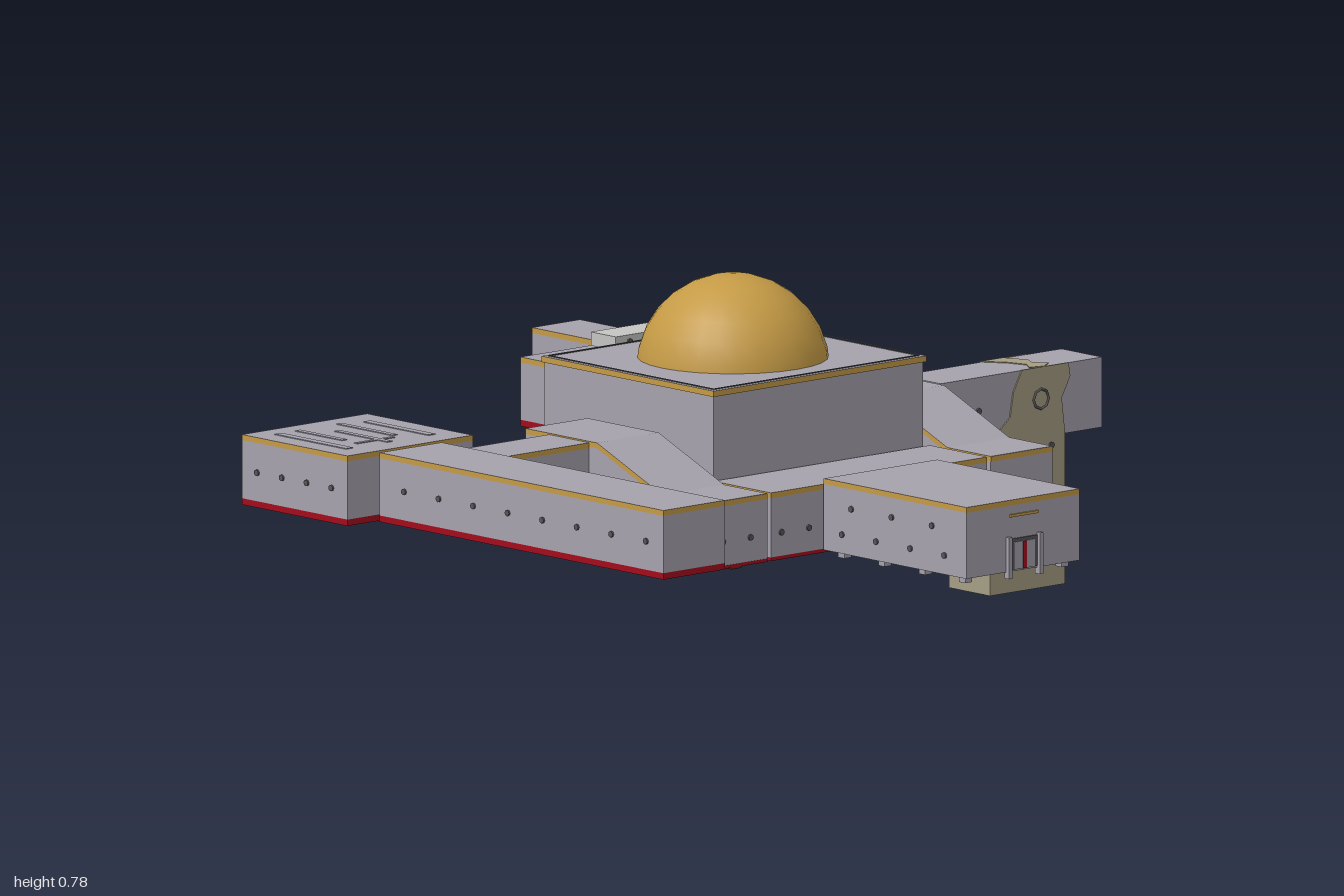
import * as THREE from 'three';

const mat = (name, color) => {
  const m = new THREE.MeshStandardMaterial({ color });
  m.name = name;
  return m;
};

export function createModel() {
  const grey = mat('hull grey', 0xa5a2ac), gold = mat('gold', 0xc49a45);
  const red = mat('red', 0xa30c1c), tan = mat('tan', 0xa69d83);
  const pale = mat('pale grey', 0xc4c4c2), dark = mat('dark grey', 0x55545a);
  const rust = mat('rust', 0x5e2a20);
  const root = new THREE.Group();

  const add = (name, geo, material, parent = root) => {
    const m = new THREE.Mesh(geo, material);
    m.name = name;
    parent.add(m);
    return m;
  };
  const box = (name, x0, x1, y0, y1, z0, z1, material, parent = root) => {
    const m = add(name, new THREE.BoxGeometry(x1 - x0, y1 - y0, z1 - z0), material, parent);
    m.position.set((x0 + x1) / 2, (y0 + y1) / 2, (z0 + z1) / 2);
    return m;
  };
  const group = (name) => {
    const g = new THREE.Group();
    g.name = name;
    root.add(g);
    return g;
  };
  // band whose four sides are painted while top and bottom stay grey
  const sides = (m) => [m, m, grey, grey, m, m];

  // Rectangular module with optional gold top edge and red bottom edge
  const room = (name, x0, x1, y0, y1, z0, z1, top = 0.012, bottom = 0.014) => {
    const g = group(name);
    box('walls', x0, x1, y0 + bottom, y1 - top, z0, z1, grey, g);
    if (top) box('goldEdge', x0, x1, y1 - top, y1, z0, z1, sides(gold), g);
    if (bottom) box('redEdge', x0, x1, y0, y0 + bottom, z0, z1, sides(red), g);
    return g;
  };

  // Small round studs spaced along a wall; axis is the wall's normal
  const studGeo = new THREE.CylinderGeometry(0.007, 0.007, 0.008, 8);
  const studs = (parent, axis, at, y, from, to, count, material = dark) => {
    for (let i = 0; i < count; i++) {
      const t = from + ((to - from) * i) / Math.max(1, count - 1);
      const m = add('stud', studGeo, material, parent);
      if (axis === 'x') { m.rotation.z = Math.PI / 2; m.position.set(at, y, t); }
      else { m.rotation.x = Math.PI / 2; m.position.set(t, y, at); }
    }
  };

  // Side profile (z, y) pulled across x
  const across = (points, x0, x1) => {
    const shape = new THREE.Shape(points.map(([z, y]) => new THREE.Vector2(z, y)));
    return new THREE.ExtrudeGeometry(shape, { depth: x1 - x0, bevelEnabled: false })
      .rotateY(-Math.PI / 2).translate(x1, 0, 0);
  };
  const ribbon = (line, lo, hi) => [
    ...line.map(([z, y]) => [z, y + lo]),
    ...[...line].reverse().map(([z, y]) => [z, y + hi]),
  ];

  // Central hall with base, seam, gold rim and dome
  const hall = group('centralHall');
  box('base', -0.305, 0.325, 0.24, 0.262, -0.34, 0.215, grey, hall);
  box('lowerWalls', -0.295, 0.315, 0.262, 0.345, -0.33, 0.21, grey, hall);
  box('seam', -0.29, 0.31, 0.345, 0.35, -0.325, 0.205, dark, hall);
  box('upperWalls', -0.295, 0.315, 0.35, 0.585, -0.335, 0.21, grey, hall);
  box('goldRim', -0.3, 0.32, 0.585, 0.598, -0.34, 0.215, sides(gold), hall);
  for (const [x0, x1, z0, z1] of [[-0.29, 0.31, -0.33, -0.326], [-0.29, 0.31, 0.2, 0.204],
    [-0.29, -0.286, -0.33, 0.204], [0.306, 0.31, -0.33, 0.204]])
    box('roofLine', x0, x1, 0.596, 0.6, z0, z1, dark, hall);
  for (const [x0, x1, z0, z1] of [[-0.2, 0.22, -0.24, -0.234], [-0.2, 0.22, 0.11, 0.116],
    [-0.2, -0.194, -0.24, 0.116], [0.214, 0.22, -0.24, 0.116]])
    box('floorLine', x0, x1, 0.237, 0.241, z0, z1, dark, hall);
  add('dome', new THREE.SphereGeometry(0.21, 28, 7, 0, Math.PI * 2, 0, Math.PI / 2), gold, hall)
    .position.set(0.005, 0.57, -0.06);

  // Front gallery and entrance block
  const gallery = room('frontGallery', -0.3, 0.33, 0.25, 0.4, 0.215, 0.4, 0.012, 0.008);
  studs(gallery, 'z', 0.4, 0.31, -0.27, -0.19, 2);
  studs(gallery, 'z', 0.4, 0.31, 0.21, 0.3, 2);
  box('floorStrip', -0.25, 0.28, 0.246, 0.251, 0.3, 0.33, rust, gallery);
  const entrance = room('entranceBlock', -0.155, 0.175, 0.258, 0.415, 0.41, 0.87, 0.012, 0);
  for (const x of [-0.155, 0.175]) {
    studs(entrance, 'x', x, 0.3, 0.47, 0.8, 4);
    studs(entrance, 'x', x, 0.36, 0.5, 0.76, 3);
  }
  for (const x of [-0.13, 0.15])
    for (const z of [0.45, 0.58, 0.71, 0.84])
      box('foot', x - 0.01, x + 0.01, 0.244, 0.258, z - 0.01, z + 0.01, grey, entrance);
  // Door with two posts and a gold lamp
  box('door', -0.03, 0.05, 0.262, 0.33, 0.869, 0.873, dark, entrance);
  box('doorPanel', -0.02, 0.04, 0.262, 0.322, 0.87, 0.875, grey, entrance);
  box('doorStripe', 0.005, 0.015, 0.262, 0.322, 0.87, 0.877, red, entrance);
  for (const x of [-0.04, 0.05])
    box('doorPost', x, x + 0.01, 0.244, 0.335, 0.865, 0.88, grey, entrance);
  box('doorLamp', -0.03, 0.05, 0.378, 0.384, 0.869, 0.875, gold, entrance);

  // Ramped corridors on both sides of the hall
  const ramp = (name, x0, x1, top, floor, redFloor) => {
    const g = group(name);
    add('walls', across([...ribbon(top, -0.012, -0.012).slice(0, top.length),
      ...[...floor].reverse()], x0, x1), grey, g);
    add('goldEdge', across(ribbon(top, -0.012, 0), x0, x1), [gold, grey], g);
    add('redEdge', across(ribbon(redFloor, -0.004, 0.012), x0 - 0.001, x1 + 0.001), [red, grey], g);
    const cx = (x0 + x1) / 2;
    add('floorStrip', across(ribbon(floor, -0.006, 0.003), cx - 0.015, cx + 0.015), rust, g);
    for (const x of [x0, x1]) studs(g, 'x', x, 0.3, 0.29, 0.37, 2);
    studs(g, 'z', 0.4, 0.31, x0 + 0.05, x1 - 0.05, 2);
    box('frontRedEdge', x0, x1, 0.25, 0.257, 0.395, 0.401, red, g);
    box('frontGoldEdge', x0, x1, 0.388, 0.399, 0.395, 0.401, gold, g);
    return g;
  };
  const topLow = [[0.4, 0.4], [0.26, 0.4], [0.05, 0.485]];
  const floorLow = [[0.4, 0.252], [0.22, 0.252], [0.05, 0.335]];
  ramp('rightCorridor', -0.49, -0.31, [...topLow, [-0.18, 0.485]],
    [...floorLow, [-0.18, 0.335]], [[0.05, 0.337], [-0.18, 0.337]]);
  const long = ramp('leftCorridor', 0.34, 0.52, [...topLow, [-0.19, 0.485], [-0.3, 0.528], [-0.45, 0.528]],
    [...floorLow, [-0.2, 0.335], [-0.3, 0.38], [-0.45, 0.38]],
    [[0.03, 0.337], [-0.2, 0.337], [-0.3, 0.382], [-0.45, 0.382]]);
  studs(long, 'x', 0.52, 0.45, -0.41, -0.33, 2);

  // Rear cross hall, roof vent and rear block
  const rear = room('rearHall', -0.09, 0.525, 0.376, 0.528, -0.64, -0.46);
  studs(rear, 'x', 0.525, 0.45, -0.6, -0.5, 2);
  studs(rear, 'z', -0.64, 0.45, -0.05, 0.1, 3);
  studs(rear, 'z', -0.64, 0.45, 0.35, 0.48, 3);
  box('floorStrip', -0.04, 0.48, 0.372, 0.377, -0.565, -0.535, rust, rear);
  const vent = group('roofVent');
  box('ventBase', 0.085, 0.355, 0.528, 0.54, -0.58, -0.52, grey, vent);
  box('ventCap', 0.07, 0.37, 0.54, 0.57, -0.59, -0.51, pale, vent);
  for (const z of [-0.59, -0.51]) studs(vent, 'z', z, 0.555, 0.11, 0.33, 5);
  room('rearBlock', 0.16, 0.3, 0.376, 0.528, -0.88, -0.65);
  box('rearUnderBox', 0.175, 0.285, 0.35, 0.376, -0.83, -0.69, tan);

  // Outer wing: link, long arm and square room
  const link = room('wingLink', -0.73, -0.49, 0.333, 0.482, -0.105, 0.025);
  studs(link, 'z', 0.025, 0.41, -0.68, -0.54, 3);
  const wing = room('wingArm', -0.915, -0.735, 0.333, 0.485, -0.18, 0.735);
  for (const x of [-0.915, -0.735]) studs(wing, 'x', x, 0.41, -0.1, 0.68, 8);
  box('floorStrip', -0.84, -0.81, 0.329, 0.334, -0.12, 0.68, rust, wing);
  const square = room('wingRoom', -1, -0.635, 0.333, 0.487, -0.53, -0.19);
  studs(square, 'x', -1, 0.41, -0.48, -0.24, 4);
  studs(square, 'z', -0.53, 0.41, -0.95, -0.68, 4);
  // Roof grooves
  for (const [x0, x1, z0, z1] of [[-0.95, -0.93, -0.48, -0.25], [-0.89, -0.875, -0.48, -0.33],
    [-0.83, -0.815, -0.42, -0.25], [-0.77, -0.755, -0.48, -0.3], [-0.71, -0.69, -0.46, -0.25],
    [-0.89, -0.78, -0.29, -0.28]])
    box('roofGroove', x0, x1, 0.486, 0.489, z0, z1, grey, square);

  // Short joints filling the gaps between modules
  const joints = [[-0.05, 0.07, 0.27, 0.38, 0.395, 0.415], [-0.315, -0.295, 0.27, 0.38, 0.25, 0.37],
    [0.325, 0.345, 0.27, 0.38, 0.25, 0.37], [0.38, 0.48, 0.4, 0.51, -0.465, -0.445],
    [0.18, 0.28, 0.4, 0.51, -0.655, -0.635], [0.515, 0.535, 0.35, 0.47, -0.09, 0.015],
    [-0.88, -0.77, 0.35, 0.47, -0.195, -0.175], [-0.74, -0.725, 0.35, 0.47, -0.09, 0.01]];
  for (const j of joints) box('joint', ...j, gold);

  // Outrigger arm on a tan leg with a jagged tan collar
  const arm = room('outriggerArm', 0.53, 1, 0.33, 0.484, -0.103, 0.028, 0, 0);
  box('leg', 0.672, 0.89, 0, 0.33, -0.103, 0.03, tan, arm);
  const poly = (pts) => new THREE.Shape(pts.map(([x, y]) => new THREE.Vector2(x, y)));
  const collar = poly([[0.672, 0.33], [0.7, 0.36], [0.73, 0.385], [0.74, 0.44], [0.765, 0.485],
    [0.9, 0.485], [0.905, 0.455], [0.88, 0.41], [0.89, 0.33]]);
  const plate = { depth: 0.003, bevelEnabled: false };
  for (const z of [0.028, -0.106])
    add('collar', new THREE.ExtrudeGeometry(collar, plate), tan, arm).position.z = z;
  const saddle = poly([[0.765, 0.103], [0.83, 0.103], [0.855, 0.05], [0.84, 0.02], [0.865, -0.005],
    [0.83, -0.03], [0.795, -0.02], [0.815, 0.01], [0.8, 0.055]]);
  add('collarTop', new THREE.ExtrudeGeometry(saddle, plate).rotateX(-Math.PI / 2), tan, arm).position.y = 0.483;
  add('port', new THREE.TorusGeometry(0.022, 0.003, 6, 8), dark, arm).position.set(0.82, 0.415, 0.031);
  studs(arm, 'z', 0.03, 0.31, 0.73, 0.85, 3);
  studs(arm, 'z', 0.028, 0.41, 0.57, 0.64, 2);
  studs(arm, 'x', 1, 0.41, -0.07, -0.005, 2);

  return root;
}
